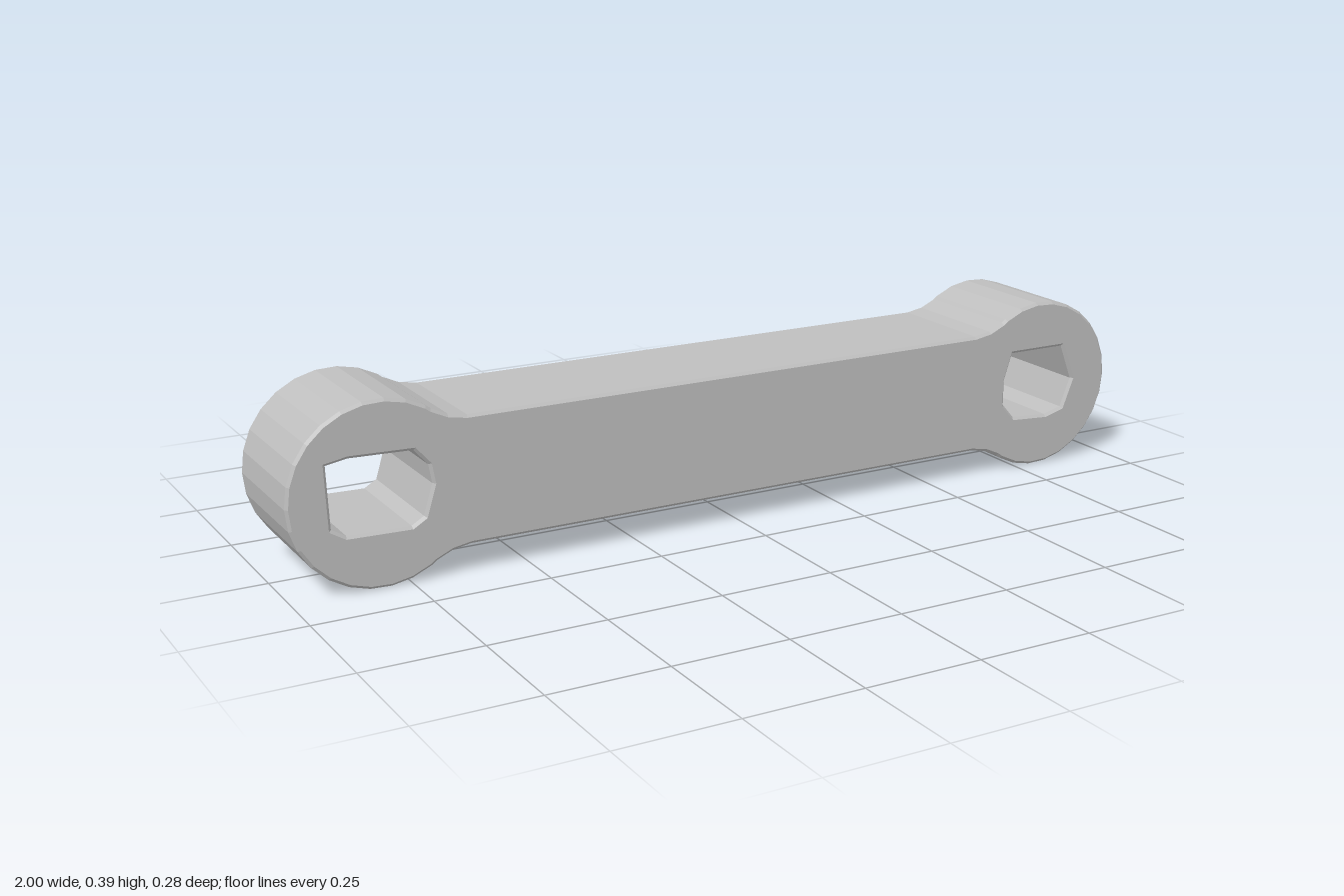
import * as THREE from 'three';

export function createModel() {
  const group = new THREE.Group();
  const grey = new THREE.MeshStandardMaterial({ color: 0xbebebe, flatShading: true });
  grey.name = 'plain grey';

  const cy = 0.195, eyeX = 0.806, eyeR = 0.194, barHalf = 0.135, halfDepth = 0.138;
  const bevel = 0.006;

  // Half outline at the +x end: bar edge, fillet, then round the eye
  const end = [[0.62, -barHalf], [0.66, -0.142], [0.695, -0.158]];
  const start = -2.12, steps = 18;
  for (let i = 0; i <= steps; i++) {
    const a = start - 2 * start * i / steps;
    end.push([eyeX + eyeR * Math.cos(a), eyeR * Math.sin(a)]);
  }
  end.push([0.695, 0.158], [0.66, 0.142], [0.62, barHalf]);

  // The other end is the same outline turned half a circle
  const outline = [...end, ...end.map(([x, y]) => [-x, -y])];
  const toPoints = (list) => list.map(([x, y]) => new THREE.Vector2(x, y + cy));
  const shape = new THREE.Shape(toPoints(outline));

  // Faceted holes through both eyes
  const leftHole = [[0.708, 0.02], [0.728, 0.082], [0.87, 0.082], [0.902, 0],
    [0.876, -0.066], [0.83, -0.078], [0.738, -0.072], [0.708, -0.038]];
  const rightHole = [[-0.915, 0.075], [-0.87, 0.083], [-0.735, 0.079], [-0.705, 0.045],
    [-0.698, 0.005], [-0.718, -0.06], [-0.745, -0.076], [-0.88, -0.073], [-0.91, -0.055]];
  for (const hole of [leftHole, rightHole]) shape.holes.push(new THREE.Path(toPoints(hole)));

  // Extruded body with a slight edge bevel
  const depth = 2 * (halfDepth - bevel);
  const geometry = new THREE.ExtrudeGeometry(shape, {
    depth, steps: 1, bevelEnabled: true, bevelSize: bevel,
    bevelThickness: bevel, bevelOffset: -bevel, bevelSegments: 1,
  });
  geometry.translate(0, 0, -depth / 2);

  const link = new THREE.Mesh(geometry, grey);
  link.name = 'linkBar';
  group.add(link);
  return group;
}
